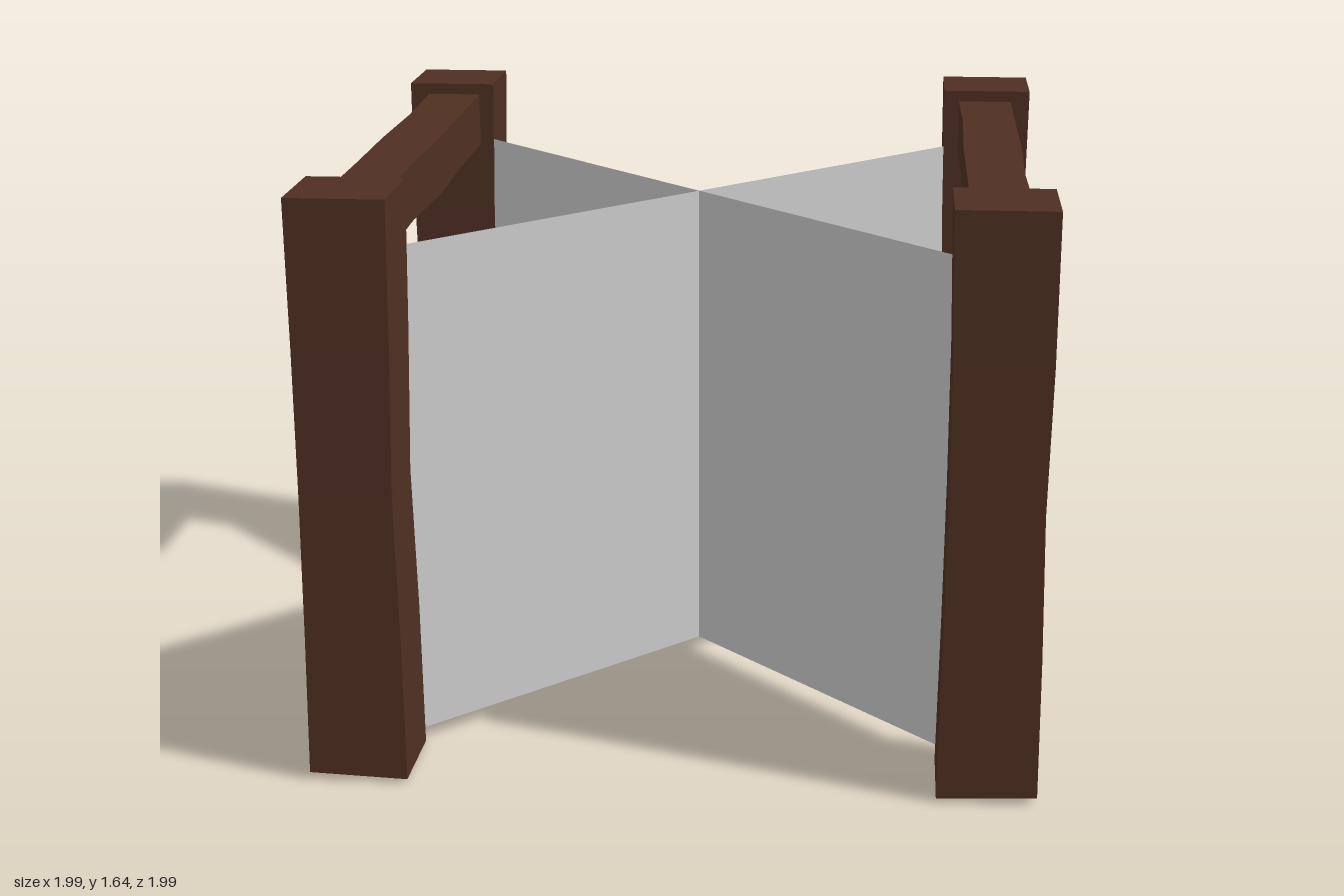
import * as THREE from 'three';

const wood = new THREE.MeshStandardMaterial({ color: 0x4f3022, flatShading: true });
const grey = new THREE.MeshStandardMaterial({ color: 0xcccccc, side: THREE.DoubleSide });

// Rough-hewn timber standing on its end: each level has its own girth and drift
function timber(name, width, length, levels) {
  const segments = levels.length - 1;
  const geometry = new THREE.BoxGeometry(width, length, width, 1, segments, 1);
  const p = geometry.attributes.position;
  for (let i = 0; i < p.count; i++) {
    const [girth, dx, dz] = levels[Math.round((p.getY(i) / length + 0.5) * segments)];
    p.setX(i, p.getX(i) * girth + dx);
    p.setZ(i, p.getZ(i) * girth + dz);
  }
  // Slightly slanted saw cut at the foot
  for (let i = 0; i < p.count; i++) {
    if (p.getY(i) < -length / 2 + 0.001) p.setY(i, p.getY(i) + (p.getX(i) + p.getZ(i)) * 0.04);
  }
  geometry.computeVertexNormals();
  const mesh = new THREE.Mesh(geometry, wood);
  mesh.name = name;
  return mesh;
}

export function createModel() {
  const group = new THREE.Group();

  // Four corner posts, each turned so its outer corner faces away from the centre
  const postLevels = [[1, 0, 0], [0.97, 0.002, 0], [0.93, 0, 0.005], [0.96, 0.004, 0], [0.99, 0, 0]];
  const corners = [
    ['frontLeftPost', 1, 1], ['backLeftPost', 1, -1],
    ['backRightPost', -1, -1], ['frontRightPost', -1, 1],
  ];
  corners.forEach(([name, sx, sz], i) => {
    const post = timber(name, 0.272, 1.63, postLevels);
    post.position.set(sx * 0.861, 0.827, sz * 0.861);
    post.rotation.y = i * Math.PI / 2;
    group.add(post);
  });

  // Top rails running front to back along both sides
  const railLevels = [[0.98, 0, 0], [0.95, 0.003, 0], [1, 0, 0.004], [0.95, -0.003, 0], [0.98, 0, 0]];
  for (const side of [1, -1]) {
    const rail = timber(side > 0 ? 'leftRail' : 'rightRail', 0.168, 1.48, railLevels);
    rail.rotation.x = Math.PI / 2;
    rail.position.set(side * 0.855, 1.526, 0);
    group.add(rail);
  }

  // Two thin upright panels crossing between opposite posts
  for (const side of [1, -1]) {
    const panel = new THREE.Mesh(new THREE.PlaneGeometry(0.82 * 2 * Math.SQRT2, 1.42), grey);
    panel.name = side > 0 ? 'diagonalPanelA' : 'diagonalPanelB';
    panel.rotation.y = side * Math.PI / 4;
    panel.position.set(0, 0.75, -0.01);
    group.add(panel);
  }

  return group;
}
